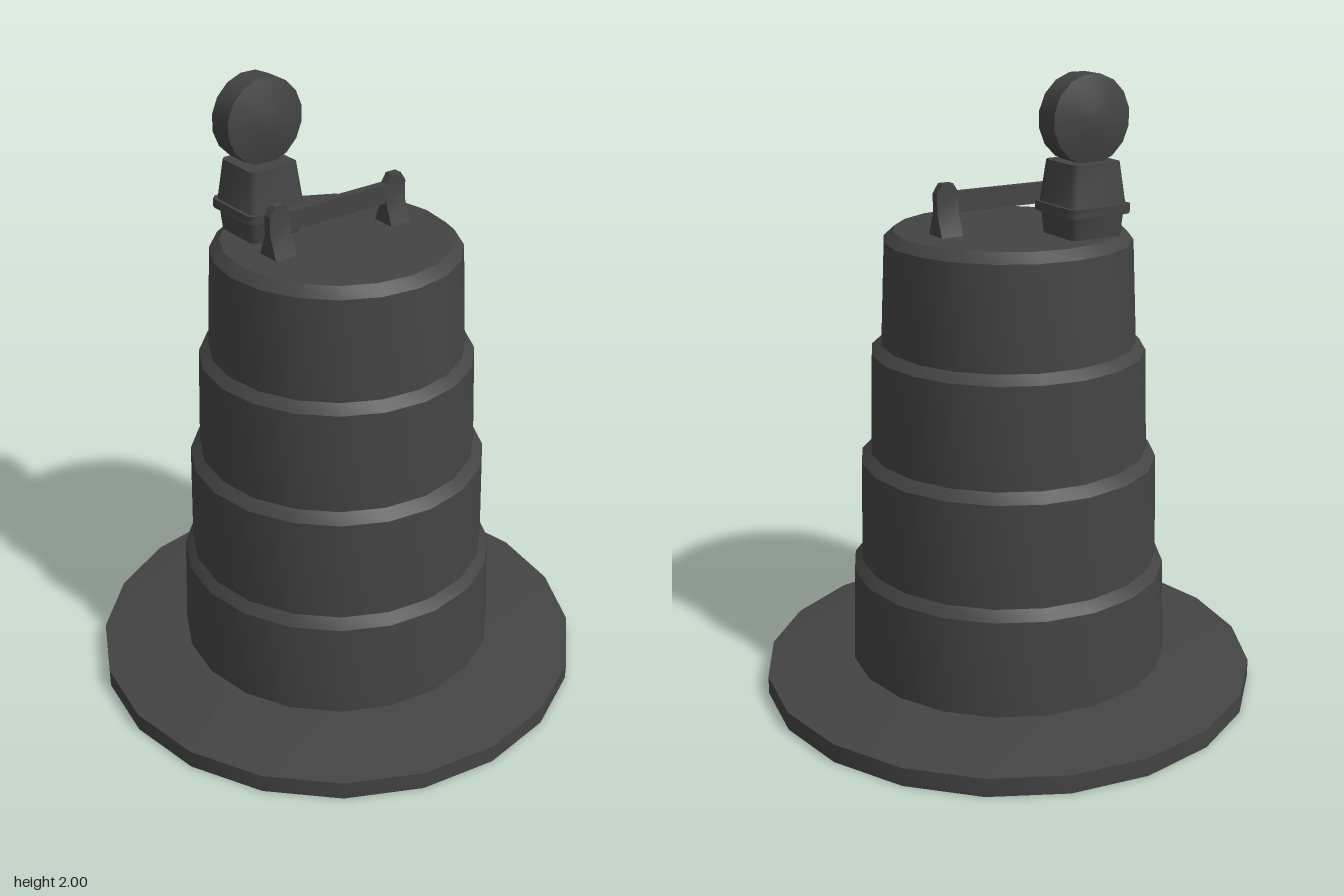
import * as THREE from 'three';
import { toCreasedNormals } from 'three/addons/utils/BufferGeometryUtils.js';

const material = new THREE.MeshStandardMaterial({ color: 0x444444 });

function addMesh(parent, name, geometry, crease = 0.42) {
  const mesh = new THREE.Mesh(toCreasedNormals(geometry, crease), material);
  mesh.name = name;
  parent.add(mesh);
  return mesh;
}

function lathe(profile, sides) {
  return new THREE.LatheGeometry(profile.map(([r, y]) => new THREE.Vector2(r, y)), sides);
}

// Joins stacked rings of [x, y, z] corners into a closed solid
function loft(rings) {
  const n = rings[0].length;
  const last = (rings.length - 1) * n;
  const index = [];
  for (let s = 0; s < last; s += n) {
    for (let i = 0; i < n; i++) {
      const j = (i + 1) % n;
      index.push(s + i, s + j, s + n + j, s + i, s + n + j, s + n + i);
    }
  }
  for (let i = 1; i < n - 1; i++) {
    index.push(0, i + 1, i, last, last + i, last + i + 1);
  }
  const geometry = new THREE.BufferGeometry();
  geometry.setAttribute('position', new THREE.Float32BufferAttribute(rings.flat(2), 3));
  geometry.setIndex(index);
  return geometry;
}

// Corner-cut square ring: half width, height, corner cut
function squareRing(h, y, c) {
  const k = h - c;
  return [[k, h], [h, k], [h, -k], [k, -h], [-k, -h], [-h, -k], [-h, k], [-k, h]]
    .map(([x, z]) => [x, y, z]);
}

// Plain rectangular ring: half width, height, half depth
function rectRing(x, y, z) {
  return [[-x, y, z], [x, y, z], [x, y, -z], [-x, y, -z]];
}

export function createModel() {
  const model = new THREE.Group();
  model.name = 'trafficDrum';

  // Wide weighted base ring
  addMesh(model, 'base', lathe([[0, 0], [0.805, 0], [0.805, 0.06], [0.51, 0.1], [0, 0.1]], 20));

  // Stepped, tapering barrel
  addMesh(model, 'barrel', lathe([
    [0.52, 0.095], [0.51, 0.41], [0.484, 0.443], [0.477, 0.776], [0.446, 0.807],
    [0.436, 1.132], [0.405, 1.16], [0.39, 1.485], [0.358, 1.515], [0, 1.515],
  ], 20));

  // Carrying handle: two posts with flared feet and chamfered tops, and a bar
  const handle = new THREE.Group();
  handle.name = 'handle';
  model.add(handle);
  for (const side of [-1, 1]) {
    const post = addMesh(handle, side > 0 ? 'leftPost' : 'rightPost', loft([
      rectRing(0.037, 1.51, 0.042), rectRing(0.037, 1.585, 0.014),
      rectRing(0.037, 1.645, 0.014), rectRing(0.018, 1.674, 0.014),
    ]));
    post.position.x = side * 0.219;
  }
  addMesh(handle, 'handleBar', new THREE.BoxGeometry(0.42, 0.063, 0.026)).position.y = 1.615;

  // Warning lamp
  const lamp = new THREE.Group();
  lamp.name = 'warningLamp';
  lamp.position.set(-0.148, 0, -0.191);
  model.add(lamp);
  addMesh(lamp, 'lampHousing', loft([
    squareRing(0.09, 1.51, 0.016), squareRing(0.096, 1.585, 0.016),
    squareRing(0.111, 1.585, 0.018), squareRing(0.111, 1.613, 0.018),
    squareRing(0.1, 1.613, 0.016), squareRing(0.085, 1.74, 0.014),
  ]), 0.9);

  // Round lens, domed on both faces
  const lens = lathe([
    [0, -0.071], [0.035, -0.071], [0.135, -0.042], [0.135, 0.042], [0.035, 0.071], [0, 0.071],
  ], 16);
  lens.rotateY(Math.PI / 16).rotateX(Math.PI / 2);
  addMesh(lamp, 'lampLens', lens).position.set(0.005, 1.867, -0.012);

  return model;
}
